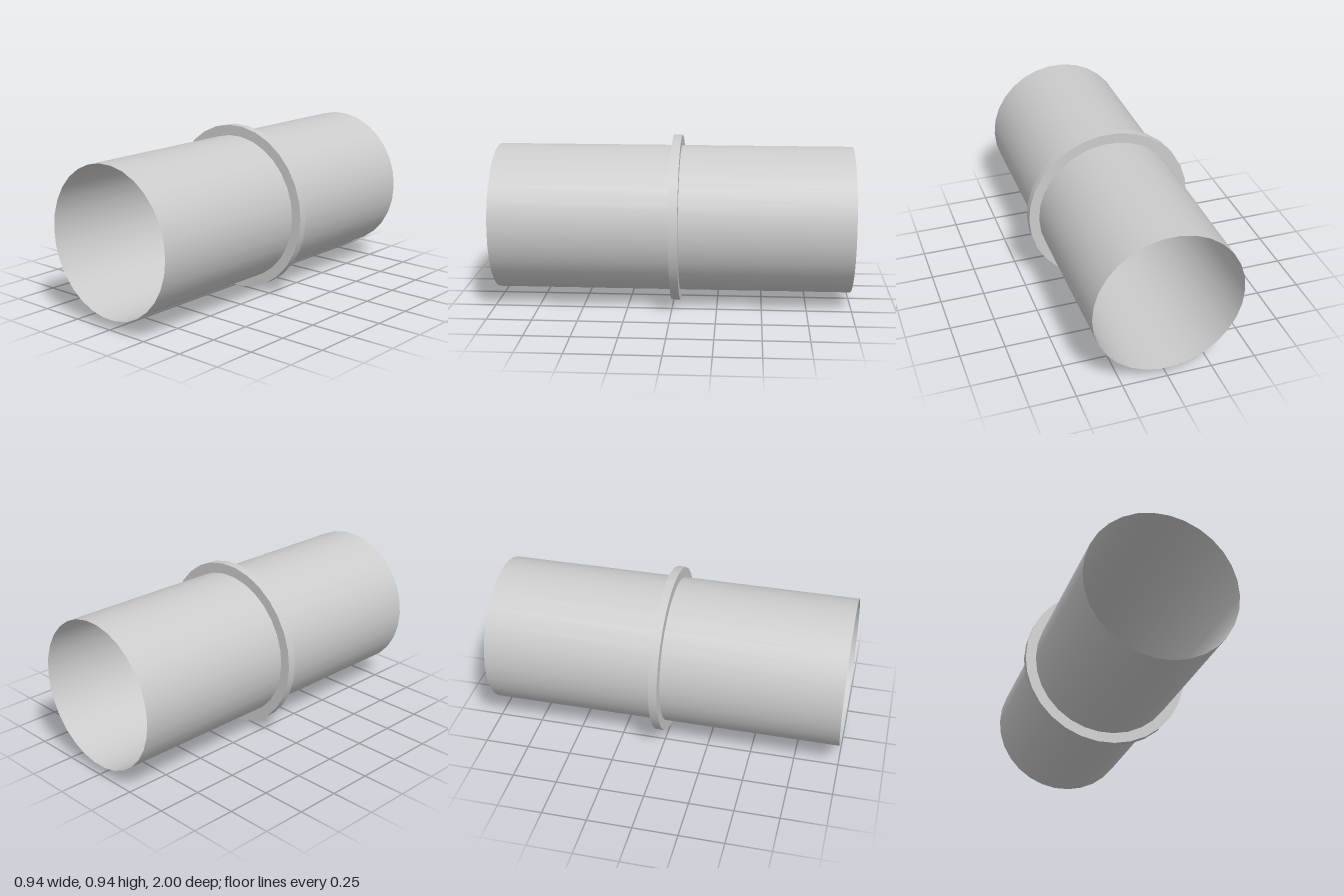
import * as THREE from 'three';

const SIDES = 30;
const TUBE_R = 0.413;
const COLLAR_R = 0.471;
const COLLAR_FRONT = 0.007;
const COLLAR_BACK = -0.041;
const CENTRE_Y = COLLAR_R * Math.cos(Math.PI / SIDES);

export function createModel() {
  const model = new THREE.Group();
  model.name = 'pipeCoupling';
  const material = new THREE.MeshStandardMaterial({ color: 0xcccccc, side: THREE.DoubleSide });

  const add = (name, geometry, z, parent) => {
    const mesh = new THREE.Mesh(geometry, material);
    mesh.name = name;
    mesh.position.z = z;
    parent.add(mesh);
  };

  // Open-ended wall along z, with a corner on the x axis
  const wall = (radius, length) =>
    new THREE.CylinderGeometry(radius, radius, length, SIDES, 1, true, Math.PI / 2)
      .rotateX(Math.PI / 2);

  // Thin pipe, open at both ends
  add('pipe', wall(TUBE_R, 2), 0, model);

  // Raised stop collar: rim and two flat faces
  const collar = new THREE.Group();
  collar.name = 'collar';
  add('collarRim', wall(COLLAR_R, COLLAR_FRONT - COLLAR_BACK), (COLLAR_FRONT + COLLAR_BACK) / 2, collar);
  const face = () => new THREE.RingGeometry(TUBE_R, COLLAR_R, SIDES);
  add('collarFrontFace', face(), COLLAR_FRONT, collar);
  add('collarBackFace', face().rotateY(Math.PI), COLLAR_BACK, collar);
  model.add(collar);

  model.position.y = CENTRE_Y;
  const root = new THREE.Group();
  root.add(model);
  return root;
}
